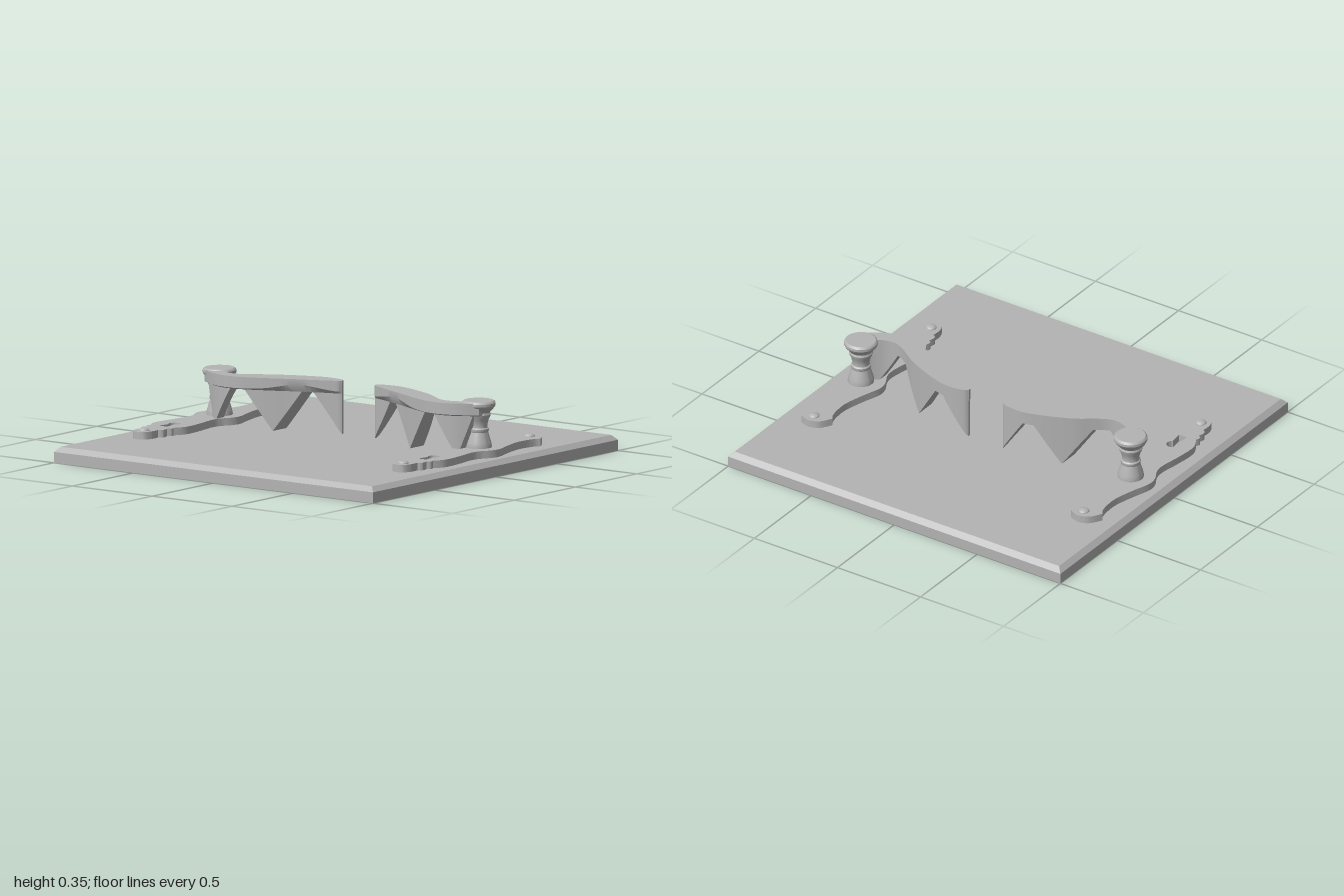
import * as THREE from 'three';
import { toCreasedNormals } from 'three/addons/utils/BufferGeometryUtils.js';

const V2 = (x, y) => new THREE.Vector2(x, y);
const metal = new THREE.MeshStandardMaterial({ color: 0xb3b3b3 });
metal.name = 'grey metal';

const POST_X = 0.812, POST_Z = -0.107, BOARD_TOP = 0.08, PLATE_TOP = 0.118;

function add(parent, name, geometry, x = 0, y = 0, z = 0) {
  const mesh = new THREE.Mesh(geometry, metal);
  mesh.name = name;
  mesh.position.set(x, y, z);
  parent.add(mesh);
}

// Closed solid through a row of rings, with capped ends
function loft(rings) {
  const pos = [];
  const tri = (...pts) => pts.forEach((p) => pos.push(...p));
  const n = rings[0].length;
  for (let i = 0; i + 1 < rings.length; i++) {
    for (let j = 0; j < n; j++) {
      const k = (j + 1) % n, p = rings[i], q = rings[i + 1];
      tri(p[j], p[k], q[k]);
      tri(p[j], q[k], q[j]);
    }
  }
  const first = rings[0], last = rings[rings.length - 1];
  for (let j = 1; j + 1 < n; j++) {
    tri(first[0], first[j + 1], first[j]);
    tri(last[0], last[j], last[j + 1]);
  }
  const g = new THREE.BufferGeometry();
  g.setAttribute('position', new THREE.Float32BufferAttribute(pos, 3));
  return toCreasedNormals(g, 0.5);
}

// Square board with a chamfered upper rim
function boardGeometry() {
  const ring = (h, y) => [[-h, y, -h], [-h, y, h], [h, y, h], [h, y, -h]];
  return loft([ring(1, 0), ring(1, 0.055), ring(0.975, BOARD_TOP)]);
}

// Escutcheon half outline: smooth runs meeting at sharp corners, as [half width, z]
const plateRuns = [
  [[0, -0.572], [0.045, -0.557], [0.07, -0.53], [0.092, -0.49]],
  [[0.092, -0.49], [0.076, -0.465], [0.065, -0.41], [0.065, -0.33], [0.092, -0.22], [0.122, -0.12],
    [0.115, -0.06], [0.085, 0], [0.078, 0.06], [0.092, 0.15], [0.104, 0.25], [0.1, 0.31], [0.073, 0.362]],
  [[0.073, 0.362], [0.08, 0.385], [0.063, 0.402]],
  [[0.063, 0.402], [0.07, 0.428], [0.068, 0.445], [0.05, 0.458]],
  [[0.05, 0.458], [0.053, 0.49], [0.05, 0.52], [0.034, 0.553], [0, 0.566]],
];

function plateGeometry() {
  const half = [];
  for (const run of plateRuns) {
    const curve = new THREE.SplineCurve(run.map(([x, z]) => V2(x, z)));
    half.push(...curve.getPoints(run.length * 4).slice(0, -1));
  }
  half.push(V2(0, 0.566));
  const other = half.slice(1, -1).reverse().map((p) => V2(-p.x, p.y));
  const shape = new THREE.Shape([...half, ...other]);
  // Keyhole
  const hole = new THREE.Path();
  hole.moveTo(0.024, 0.353);
  hole.lineTo(0.015, 0.285);
  hole.absarc(0, 0.26, 0.03, 1.0, Math.PI - 1.0, true);
  hole.lineTo(-0.024, 0.353);
  hole.closePath();
  shape.holes.push(hole);
  const g = new THREE.ExtrudeGeometry(shape, {
    depth: PLATE_TOP - BOARD_TOP, bevelEnabled: false, curveSegments: 16,
  });
  g.rotateX(Math.PI / 2);
  return toCreasedNormals(g, 0.6);
}

// Turned post with a flat, rimmed cap
function postGeometry() {
  const profile = [
    [0, 0.1], [0.065, 0.1], [0.066, 0.125], [0.062, 0.145], [0.047, 0.195], [0.05, 0.202],
    [0.05, 0.212], [0.044, 0.218], [0.043, 0.23], [0.05, 0.258], [0.057, 0.272], [0.06, 0.284],
    [0.056, 0.294], [0.062, 0.302], [0.078, 0.32], [0.084, 0.33], [0.084, 0.343], [0.08, 0.35],
    [0.074, 0.354], [0, 0.354],
  ];
  return toCreasedNormals(new THREE.LatheGeometry(profile.map(([r, y]) => V2(r, y)), 40), 0.5);
}

// Lever plan: each point holds x, back z and front z
const leverPlan = new THREE.CatmullRomCurve3([
  [0.102, -0.195, -0.182], [0.115, -0.208, -0.167], [0.16, -0.22, -0.145], [0.24, -0.221, -0.108],
  [0.35, -0.188, -0.062], [0.43, -0.155, -0.024], [0.5, -0.12, 0.006], [0.57, -0.072, 0.033],
  [0.62, -0.042, 0.043], [0.66, -0.03, 0.045], [0.71, -0.036, 0.037], [0.76, -0.062, 0.02],
  [0.81, -0.1, -0.008], [0.86, -0.1, -0.045],
].map((p) => new THREE.Vector3(...p))).getPoints(90);

function planAt(x) {
  let i = 1;
  while (i < leverPlan.length - 1 && leverPlan[i].x < x) i++;
  const a = leverPlan[i - 1], b = leverPlan[i];
  const t = THREE.MathUtils.clamp((x - a.x) / (b.x - a.x), 0, 1);
  return { back: a.y + (b.y - a.y) * t, front: a.z + (b.z - a.z) * t };
}

const UNDER = 0.283, LEVER_TOP = 0.348;
const inset = (back, front) => Math.min(0.02, (front - back) * 0.2);

// Ring of [z, y] corners placed at x on the given side
function ringAt(side, x, corners) {
  const ring = corners.map(([z, y]) => [side * x, y, z]);
  return side < 0 ? ring.reverse() : ring;
}

// Curved grip, undercut along its front edge
function leverGeometry(side) {
  return loft(leverPlan.map(({ x, y: back, z: front }) => {
    const lip = 0.29 + 0.03 * Math.exp(-(((x - 0.3) / 0.13) ** 2));
    return ringAt(side, x, [[back, LEVER_TOP], [front, LEVER_TOP], [front, lip],
      [front - inset(back, front), UNDER], [back, UNDER]]);
  }));
}

// Tapering support below the grip, from x0 down to the tip and up to x1
function supportGeometry(side, [x0, tip, x1]) {
  const rings = [];
  const steps = 24;
  const xs = [];
  if (tip > x0) for (let i = 0; i < steps; i++) xs.push(x0 + (tip - x0) * i / steps);
  for (let i = 0; i <= steps; i++) xs.push(tip + (x1 - tip) * i / steps);
  for (const x of xs) {
    const { back, front } = planAt(x);
    const t = x < tip ? (tip - x) / (tip - x0) : (x - tip) / (x1 - tip);
    const low = BOARD_TOP + (UNDER - BOARD_TOP) * t;
    const f = front - inset(back, front);
    rings.push(ringAt(side, x, [[back, UNDER + 0.004], [f, UNDER + 0.004], [f, low], [back, low]]));
  }
  return loft(rings);
}

const supports = [[0.103, 0.103, 0.24], [0.295, 0.43, 0.565], [0.64, 0.762, 0.828]];

export function createModel() {
  const model = new THREE.Group();
  model.name = 'doorHandlePair';
  add(model, 'baseBoard', boardGeometry());

  const plate = plateGeometry();
  const post = postGeometry();
  const screw = new THREE.SphereGeometry(0.028, 24, 8, 0, Math.PI * 2, 0, Math.PI / 2);
  screw.scale(1, 0.5, 1);

  for (const side of [1, -1]) {
    const handle = new THREE.Group();
    handle.name = side > 0 ? 'leftHandle' : 'rightHandle';
    model.add(handle);
    add(handle, 'keyholePlate', plate, side * POST_X, PLATE_TOP, 0);
    for (const z of [-0.52, 0.51]) add(handle, 'screwHead', screw, side * POST_X, PLATE_TOP, z);
    add(handle, 'turnedPost', post, side * POST_X, 0, POST_Z);
    add(handle, 'lever', leverGeometry(side));
    for (const s of supports) add(handle, 'leverSupport', supportGeometry(side, s));
  }
  return model;
}
